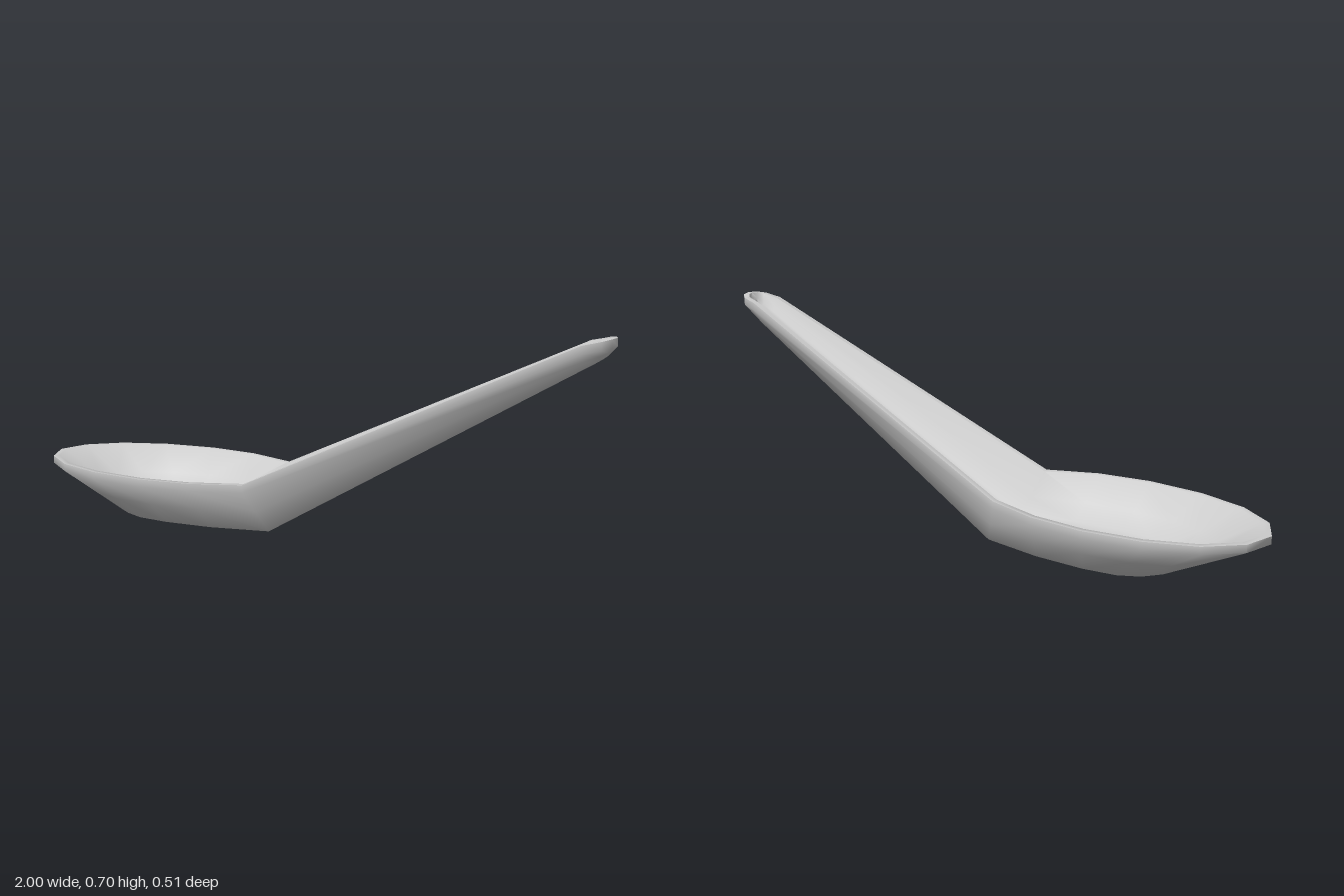
import * as THREE from 'three';
import { toCreasedNormals } from 'three/addons/utils/BufferGeometryUtils.js';

// Stations from bowl tip to handle end: rim x, rim y, rim half width, base x, base y, base half width
const STATIONS = [
  [-1.0, 0.17, 0, -0.7, 0, 0],
  [-0.96, 0.17, 0.1, -0.69, 0, 0.065],
  [-0.85, 0.17, 0.185, -0.64, 0, 0.115],
  [-0.69, 0.17, 0.238, -0.57, 0, 0.145],
  [-0.5, 0.17, 0.257, -0.46, 0, 0.155],
  [-0.32, 0.17, 0.238, -0.29, 0, 0.145],
  [-0.15, 0.17, 0.18, -0.09, 0, 0.105],
  [0.91, 0.68, 0.07, 0.91, 0.604, 0.035],
  [0.965, 0.693, 0.058, 0.95, 0.628, 0.028],
  [0.99, 0.699, 0.032, 0.968, 0.64, 0.016],
  [1.0, 0.7, 0, 0.972, 0.643, 0],
];
const WALL = 0.02, LIP = 0.026, FLOOR = 0.028;

// Half cross-section: base centre -> outer wall -> rim -> inner wall -> floor centre
function halfSection(i) {
  const [rx, ry, rw, bx, by, bw] = STATIONS[i];
  const last = STATIONS.length - 1;
  const a = STATIONS[Math.max(i - 1, 0)], b = STATIONS[Math.min(i + 1, last)];
  // inward direction of the rim outline
  const t = i === 0 ? new THREE.Vector2(0, 1)
    : i === last ? new THREE.Vector2(0, -1)
      : new THREE.Vector2(b[0] - a[0], b[2] - a[2]).normalize();
  const v = (x, y, z) => new THREE.Vector3(x, y, z);
  const base = v(bx, by, bw);
  const lip = v(rx, ry - LIP, rw);
  const innerRim = v(rx + t.y * WALL, ry, Math.max(rw - t.x * WALL, 0));
  const floor = v(bx + (i === last ? -0.01 : 0), by + FLOOR, bw * 0.85);
  const innerMid = innerRim.clone().lerp(floor, 0.55);
  innerMid.y -= (innerRim.y - floor.y) * 0.06;
  return [
    v(bx, by, 0), v(bx, by, bw * 0.5), base,
    base.clone().lerp(lip, 0.5), lip, v(rx, ry, rw), innerRim,
    innerMid, floor, v(floor.x, floor.y - 0.004, floor.z * 0.5),
    v(floor.x, floor.y - 0.005, 0),
  ];
}

// Loft the sections and mirror them across z, skipping collapsed triangles at the tips
function spoonGeometry() {
  const rows = STATIONS.map((_, i) => halfSection(i));
  const positions = [];
  const tri = new THREE.Triangle();
  const add = (p, q, r) => {
    tri.set(p, q, r);
    if (tri.getArea() < 1e-8) return;
    for (const c of [p, q, r]) positions.push(c.x, c.y, c.z);
    for (const c of [p, r, q]) positions.push(c.x, c.y, -c.z);
  };
  for (let i = 0; i < rows.length - 1; i++) {
    for (let j = 0; j < rows[i].length - 1; j++) {
      const a = rows[i][j], b = rows[i + 1][j], c = rows[i + 1][j + 1], d = rows[i][j + 1];
      add(a, b, d);
      add(b, c, d);
    }
  }
  const geometry = new THREE.BufferGeometry();
  geometry.setAttribute('position', new THREE.Float32BufferAttribute(positions, 3));
  return toCreasedNormals(geometry, THREE.MathUtils.degToRad(65));
}

export function createModel() {
  const group = new THREE.Group();
  group.name = 'soupSpoon';
  const material = new THREE.MeshStandardMaterial({ color: 0xcccccc });
  const spoon = new THREE.Mesh(spoonGeometry(), material);
  spoon.name = 'bowlAndHandle';
  group.add(spoon);
  return group;
}
